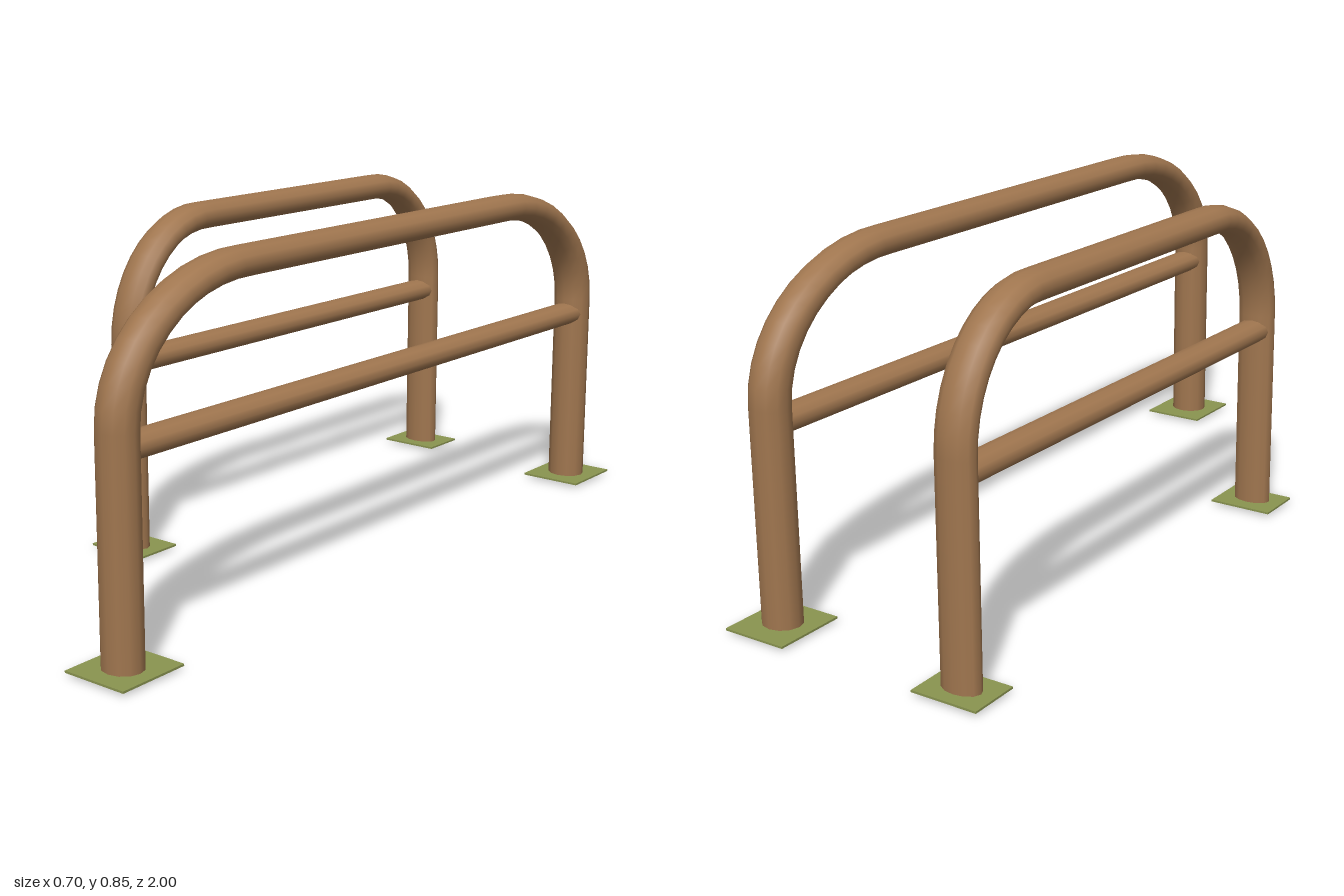
import * as THREE from 'three';

const wood = new THREE.MeshStandardMaterial({ color: 0xa0764f, side: THREE.DoubleSide });
const olive = new THREE.MeshStandardMaterial({ color: 0x8a9450 });

// Proportions of the pipe: round in its own space, then flattened in y and z
const FLAT_Y = 0.7, FLAT_Z = 0.9;
const LEG = 1.011, TOP = 1.171, BEND = 0.42;

// Centre line: up one leg, round the bend, along the top and down again
function hoopPath() {
  const v = (y, z) => new THREE.Vector3(0, y, z);
  const bend = (side, up) => {
    const a = v(TOP - BEND, side * LEG), b = v(TOP, side * (LEG - BEND));
    const k = BEND * 0.5523;
    const pts = [a, v(a.y + k, a.z), v(b.y, b.z + side * k), b];
    return new THREE.CubicBezierCurve3(...(up ? pts : pts.reverse()));
  };
  const path = new THREE.CurvePath();
  path.add(new THREE.LineCurve3(v(0, LEG), v(TOP - BEND, LEG)));
  path.add(bend(1, true));
  path.add(new THREE.LineCurve3(v(TOP, LEG - BEND), v(TOP, BEND - LEG)));
  path.add(bend(-1, false));
  path.add(new THREE.LineCurve3(v(TOP - BEND, -LEG), v(0, -LEG)));
  return path;
}

function addMesh(parent, name, geometry, material) {
  const mesh = new THREE.Mesh(geometry, material);
  mesh.name = name;
  parent.add(mesh);
  return mesh;
}

// One rail: bent hoop, crossbar and two foot plates
function makeRail(name, x, z, length, plateZ, plateDepth) {
  const rail = new THREE.Group();
  rail.name = name;
  rail.position.x = x;

  const pipes = new THREE.Group();
  pipes.name = 'pipes';
  pipes.position.z = z;
  pipes.scale.set(1, FLAT_Y, FLAT_Z * length);
  rail.add(pipes);

  addMesh(pipes, 'hoop', new THREE.TubeGeometry(hoopPath(), 64, 0.05, 12, false), wood);
  const bar = addMesh(pipes, 'crossbar', new THREE.CylinderGeometry(0.042, 0.042, 2 * LEG, 12), wood);
  bar.rotation.x = Math.PI / 2;
  bar.position.y = 0.485 / FLAT_Y;

  for (const pz of plateZ) {
    const plate = addMesh(rail, 'footPlate', new THREE.BoxGeometry(0.169, 0.005, plateDepth), olive);
    plate.position.set(0, 0.01, pz);
  }
  return rail;
}

export function createModel() {
  const model = new THREE.Group();
  model.name = 'railings';
  model.add(makeRail('longRail', 0.265, 0.004, 1, [0.909, -0.909], 0.182));
  model.add(makeRail('shortRail', -0.265, -0.299, 0.7, [0.333, -0.936], 0.128));
  return model;
}
